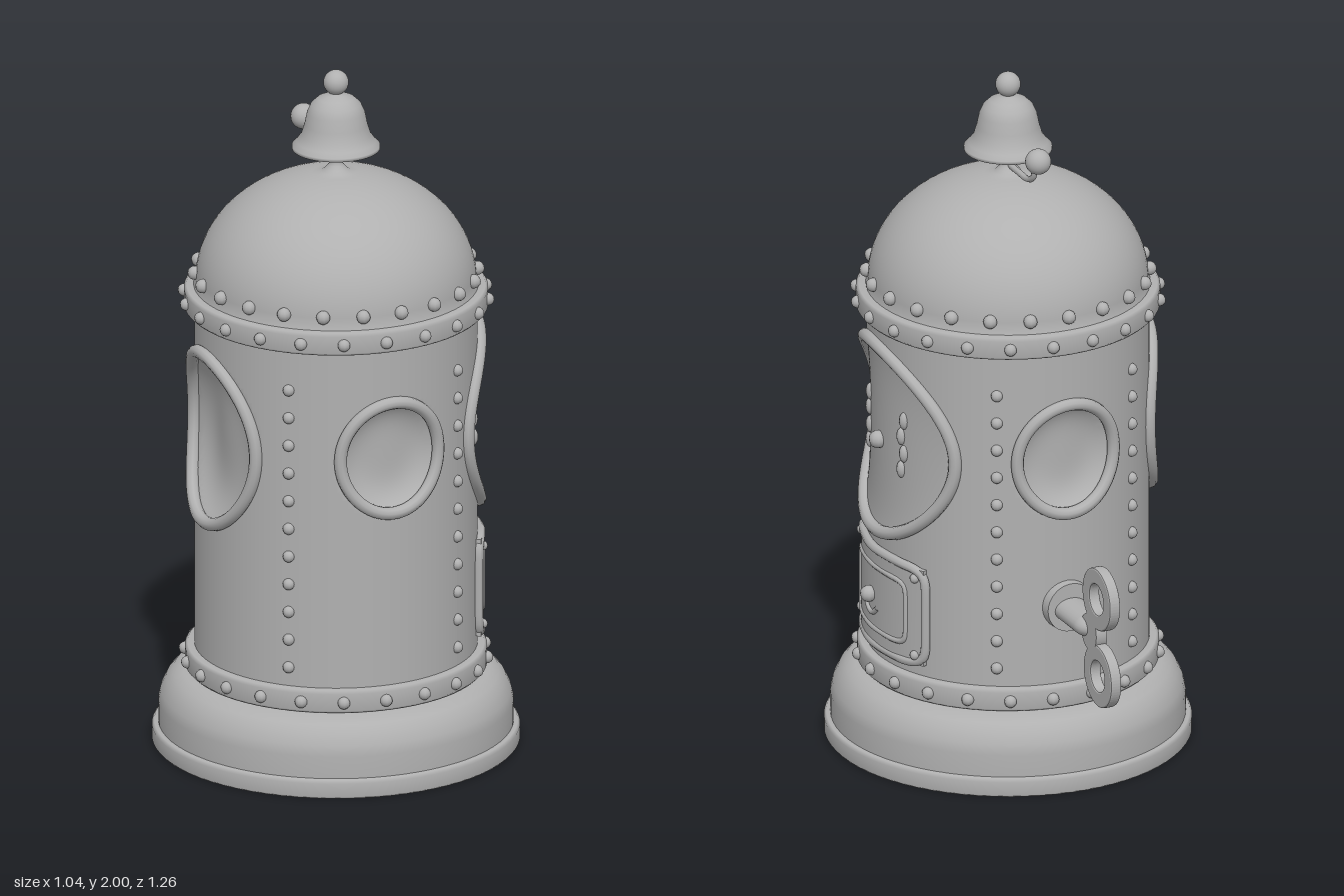
import * as THREE from 'three';

const R = 0.4, CZ = 0.11, DEG = Math.PI / 180;
const metal = new THREE.MeshStandardMaterial({ color: 0xb0b0b0 });
metal.name = 'grey metal';

// Round windows in the wall: azimuth from the front, height, radii, dish depth
const windows = [
  { name: 'frontPorthole', az: -4, y: 0.97, rx: 0.148, ry: 0.165, depth: 0.05, tube: 0.018 },
  { name: 'backPorthole', az: 180, y: 0.97, rx: 0.148, ry: 0.165, depth: 0.05, tube: 0.018 },
  { name: 'leftWindow', az: 86, y: 0.955, rx: 0.292, ry: 0.282, depth: 0.012, tube: 0.019 },
  { name: 'rightWindow', az: 266, y: 0.955, rx: 0.215, ry: 0.25, depth: 0.07, tube: 0.019 },
];

// Point on the round wall, azimuth in radians
const wall = (a, y, r = R) => new THREE.Vector3(r * Math.sin(a), y, CZ + r * Math.cos(a));

// Wraps a flat geometry (x along, y up, z outward) around the wall
function bend(geo, azDeg, rule = () => 0) {
  const p = geo.attributes.position;
  for (let i = 0; i < p.count; i++) {
    const a = azDeg * DEG + p.getX(i) / R, y = p.getY(i);
    const v = wall(a, y, R + p.getZ(i) + rule(a, y));
    p.setXYZ(i, v.x, v.y, v.z);
  }
  geo.computeVertexNormals();
  return geo;
}

// Inward dish inside each window
function dish(a, y) {
  let d = 0;
  for (const w of windows) {
    let da = a - w.az * DEG;
    da = Math.atan2(Math.sin(da), Math.cos(da));
    const q = ((da * R) / (w.rx * 1.05)) ** 2 + ((y - w.y) / w.ry) ** 2;
    if (q < 1) d -= w.depth * (1 - q * q);
  }
  return d;
}

export function createModel() {
  const model = new THREE.Group();
  const add = (name, geo, x = 0, y = 0, z = 0) => {
    const m = new THREE.Mesh(geo, metal);
    m.name = name;
    m.position.set(x, y, z);
    model.add(m);
    return m;
  };
  const lathe = (name, pts) =>
    add(name, new THREE.LatheGeometry(pts.map(([r, y]) => new THREE.Vector2(r, y)), 72), 0, 0, CZ);
  const boltGeo = new THREE.SphereGeometry(1, 10, 8);
  const bolt = (name, a, y, r, s) => {
    const m = add(name, boltGeo);
    m.position.copy(wall(a, y, r));
    m.scale.setScalar(s);
    return m;
  };

  // Base plinth and its lip
  lathe('baseLip', [[0, 0], [0.515, 0], [0.52, 0.006], [0.52, 0.045], [0.513, 0.054], [0.49, 0.056]]);
  lathe('base', [[0.502, 0.05], [0.502, 0.12], [0.495, 0.15], [0.48, 0.18], [0.46, 0.202], [0.435, 0.216], [0.38, 0.222]]);

  // Cylindrical body with dished windows, its joint hidden on a seam
  const bodyGeo = new THREE.PlaneGeometry(2 * Math.PI * R, 1.1, 160, 90);
  bodyGeo.translate(0, 0.8, 0);
  add('body', bend(bodyGeo, 211, dish));

  // Riveted bands
  const band = (name, y0, y1, r) => lathe(name, [[0.385, y0], [r - 0.008, y0], [r, y0 + 0.008],
    [r, y1 - 0.008], [r - 0.008, y1], [0.375, y1 + 0.004]]);
  band('lowerBand', 0.222, 0.288, 0.427);
  band('upperBand', 1.295, 1.36, 0.43);
  for (let i = 0; i < 22; i++) {
    const a = ((i + 0.5) / 22) * Math.PI * 2, b = (i / 22) * Math.PI * 2;
    bolt('lowerBandRivet', a, 0.255, 0.428, 0.018);
    bolt('upperBandRivet', a, 1.328, 0.431, 0.018);
    bolt('domeRivet', b, 1.4, 0.4, 0.02);
  }

  // Vertical seams of rivets
  for (const az of [31, 150, 215, 313])
    for (let i = 0; i < 11; i++) bolt('seamRivet', az * DEG, 0.345 + i * 0.083, 0.401, 0.017);

  // Dome with flared finial neck
  const dome = [[0.405, 1.355]];
  for (let i = 0; i <= 22; i++) {
    const t = (i / 22) * 84 * DEG;
    dome.push([0.397 * Math.cos(t), 1.375 + 0.325 * Math.sin(t)]);
  }
  lathe('dome', [...dome, [0.032, 1.708], [0.022, 1.718], [0.017, 1.73], [0.016, 1.785]]);

  // Bell with closed underside and top ball
  lathe('bell', [[0, 1.785], [0.1, 1.78], [0.118, 1.767], [0.125, 1.768], [0.125, 1.777], [0.112, 1.79],
    [0.098, 1.81], [0.089, 1.84], [0.082, 1.875], [0.071, 1.9], [0.052, 1.918], [0.028, 1.928], [0.015, 1.935], [0.012, 1.95]]);
  add('bellBall', new THREE.SphereGeometry(0.036, 24, 16), 0, 1.964, CZ);

  // Bell striker on a bent arm
  const arm = new THREE.CatmullRomCurve3([[0.1, 1.722], [0.04, 1.721], [-0.02, 1.722], [-0.055, 1.74],
    [-0.072, 1.785]].map(([z, y]) => new THREE.Vector3(0, y, z)));
  add('strikerArm', new THREE.TubeGeometry(arm, 24, 0.009, 8));
  add('strikerBall', new THREE.SphereGeometry(0.037, 24, 16), 0, 1.8, -0.088);

  // Window rims following the wall
  for (const w of windows) {
    const pts = [];
    for (let i = 0; i < 40; i++) {
      const t = (i / 40) * Math.PI * 2, c = Math.cos(t) * w.rx;
      // rx is the width seen straight on
      pts.push(wall(w.az * DEG + Math.asin(c / R), w.y + Math.sin(t) * w.ry, R + 0.006));
    }
    const curve = new THREE.CatmullRomCurve3(pts, true);
    add(w.name + 'Rim', new THREE.TubeGeometry(curve, 96, w.tube, 10, true));
  }

  // Small fittings on the left window panel
  const side = 86 * DEG;
  bolt('panelKnob', side, 0.94, 0.395, 0.026);
  for (const s of [-0.33, 0.31])
    for (let i = 0; i < 4; i++)
      bolt('panelFitting', side + s + (i % 2) * 0.03, 0.89 + i * 0.05, 0.388, 0.015).scale.y = 0.026;

  // Hatch below the left window: plate, frame, corner bolts, knob and handle
  const hatchAz = 86.5, ha = hatchAz * DEG;
  const plate = new THREE.BoxGeometry(0.46, 0.29, 0.03, 16, 2, 1);
  plate.translate(0, 0.47, 0);
  add('hatchPlate', bend(plate, hatchAz));
  const frame = (name, w, h, r, tube) => {
    const pts = [];
    for (let i = 0; i < 48; i++) {
      const t = (i / 48) * Math.PI * 2, c = Math.cos(t), s = Math.sin(t);
      const k = (v) => Math.sign(v) * Math.abs(v) ** 0.25;
      pts.push(wall(ha + (k(c) * w) / R, 0.47 + k(s) * h, r));
    }
    add(name, new THREE.TubeGeometry(new THREE.CatmullRomCurve3(pts, true), 96, tube, 8, true));
  };
  frame('hatchFrame', 0.232, 0.145, R + 0.008, 0.014);
  frame('hatchInnerFrame', 0.165, 0.095, R + 0.012, 0.009);
  for (const sx of [-1, 1])
    for (const sy of [-1, 1]) bolt('hatchBolt', ha + (sx * 0.2) / R, 0.47 + sy * 0.117, 0.416, 0.014);
  bolt('hatchKnob', ha, 0.475, 0.425, 0.024);
  const grip = [-1, -0.5, 0, 0.5, 1].map((u) => wall(ha + u * 0.1, 0.42 + u * u * 0.025, R + 0.016));
  add('hatchHandle', new THREE.TubeGeometry(new THREE.CatmullRomCurve3(grip), 16, 0.008, 8));

  // Wind-up key: boss, flattened shaft and two-ring bow
  const boss = new THREE.CylinderGeometry(0.072, 0.076, 0.06, 32);
  boss.rotateX(-Math.PI / 2);
  add('keyBoss', boss, 0.005, 0.525, -0.285);
  const shaft = new THREE.CapsuleGeometry(0.05, 0.14, 10, 24);
  shaft.rotateX(Math.PI / 2);
  add('keyShaft', shaft, 0.005, 0.52, -0.365).scale.y = 0.68;
  const bowRing = (z, y) => {
    const s = new THREE.Shape().absarc(0, 0, 0.087, 0, Math.PI * 2);
    s.holes.push(new THREE.Path().absarc(0, 0, 0.05, 0, Math.PI * 2, true));
    const g = new THREE.ExtrudeGeometry(s, { depth: 0.022, bevelEnabled: true, bevelSize: 0.005,
      bevelThickness: 0.006, bevelSegments: 2, curveSegments: 32 });
    g.translate(0, 0, -0.011);
    g.rotateY(Math.PI / 2);
    add('keyBowRing', g, 0.014, y, z);
  };
  bowRing(-0.532, 0.633);
  bowRing(-0.54, 0.402);
  const hub = new THREE.CylinderGeometry(0.05, 0.05, 0.034, 24);
  hub.rotateZ(Math.PI / 2);
  add('keyBowHub', hub, 0.014, 0.518, -0.485).scale.y = 1.1;

  return model;
}
